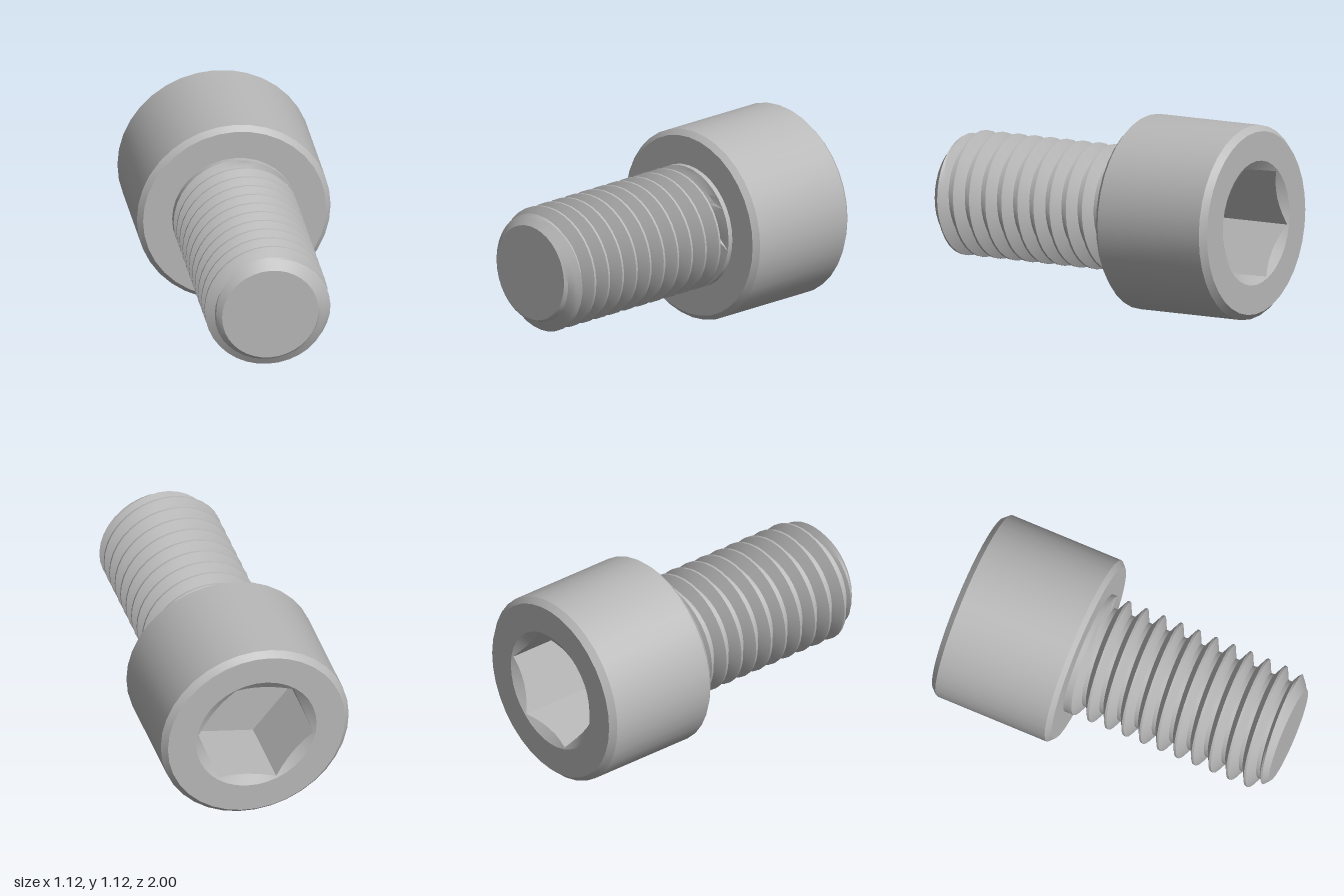
import * as THREE from 'three';
import { toCreasedNormals } from 'three/addons/utils/BufferGeometryUtils.js';

const SEG = 36, HEAD_R = 0.5625, CREST = 0.363, ROOT = 0.293;
const PITCH = 0.109, THREAD_START = -0.22, TIP_R = 0.28;

// Skin a grid of points: point(row, angle) runs anticlockwise around z
function skin(rows, point) {
  const grid = rows.map((row) => Array.from({ length: SEG + 1 }, (_, j) => point(row, (j / SEG) * Math.PI * 2)));
  const pos = [];
  const face = (a, b, c) => {
    const area = new THREE.Triangle(a, b, c).getArea();
    if (area > 1e-8) for (const p of [a, b, c]) pos.push(p.x, p.y, p.z);
  };
  for (let i = 0; i < rows.length - 1; i++) {
    for (let j = 0; j < SEG; j++) {
      const a = grid[i][j], b = grid[i][j + 1], c = grid[i + 1][j + 1], d = grid[i + 1][j];
      face(a, b, c);
      face(a, c, d);
    }
  }
  const geo = new THREE.BufferGeometry();
  geo.setAttribute('position', new THREE.Float32BufferAttribute(pos, 3));
  return toCreasedNormals(geo, 0.42);
}

const polar = (r, a, z) => new THREE.Vector3(r * Math.cos(a), r * Math.sin(a), z);

// Profile of [radius, z] pairs turned around z
function turned(profile) {
  const geo = new THREE.LatheGeometry(profile.map(([r, z]) => new THREE.Vector2(r, z)), SEG);
  return toCreasedNormals(geo.rotateX(Math.PI / 2), 0.42);
}

// Right-handed thread, cut by a cone at the tip and stopped at the collar
function threadGeometry() {
  const steps = [-0.06, 0.06, 0.17, 0.28, 0.39, 0.61, 0.72, 0.83];
  const rows = [];
  for (let k = -12; k < 4; k++) {
    for (const u of steps) rows.push({ z: 0.83 + (k + u) * PITCH, u });
  }
  return skin(rows, (row, a) => {
    const z = THREE.MathUtils.clamp(row.z + (PITCH * a) / (Math.PI * 2), THREAD_START, 1);
    if (z === THREAD_START) return polar(CREST, a, z);
    const off = Math.min(Math.abs(row.u), 1 - row.u);
    const depth = THREE.MathUtils.clamp((off - 0.06) / 0.33, 0, 1);
    const r = THREE.MathUtils.lerp(CREST, ROOT, depth);
    return polar(Math.min(r, TIP_R + (1 - z) * 1.2), a, z);
  });
}

// Hexagonal recess with a conical lead-in that scallops the flats
function socketGeometry() {
  const corner = 0.35, opening = 0.36, floor = -0.53;
  const sector = Math.PI / 3, turn = Math.PI / 18;
  const hex = (a) => (corner * Math.cos(sector / 2)) / Math.cos((a % sector) - sector / 2);
  return skin(['centre', 'floor', 'wall', 'rim'], (row, a) => {
    const r = hex(a), at = a + turn;
    if (row === 'centre') return polar(0, at, floor);
    if (row === 'floor') return polar(r, at, floor);
    if (row === 'wall') return polar(r, at, -1 + (opening - r) * 0.65);
    return polar(opening, at, -1);
  });
}

export function createModel() {
  const model = new THREE.Group();
  model.name = 'socketHeadScrew';
  const steel = new THREE.MeshStandardMaterial({ color: 0xb8b8b8 });
  steel.name = 'steel grey';

  const add = (name, geo) => {
    const mesh = new THREE.Mesh(geo, steel);
    mesh.name = name;
    mesh.position.y = HEAD_R;
    model.add(mesh);
    return mesh;
  };

  // Head with chamfered rims, open at the socket
  add('head', turned([
    [0.36, -1], [0.53, -1], [HEAD_R, -0.965], [HEAD_R, -0.28], [0.532, -0.25], [0.3, -0.25],
  ]));
  add('hexSocket', socketGeometry());

  // Plain collar under the head, then the threaded shank and its flat end
  add('collar', turned([[CREST, -0.25], [CREST, THREAD_START]]));
  add('thread', threadGeometry());
  add('shankEnd', new THREE.CircleGeometry(TIP_R, SEG)).position.z = 1;

  return model;
}
